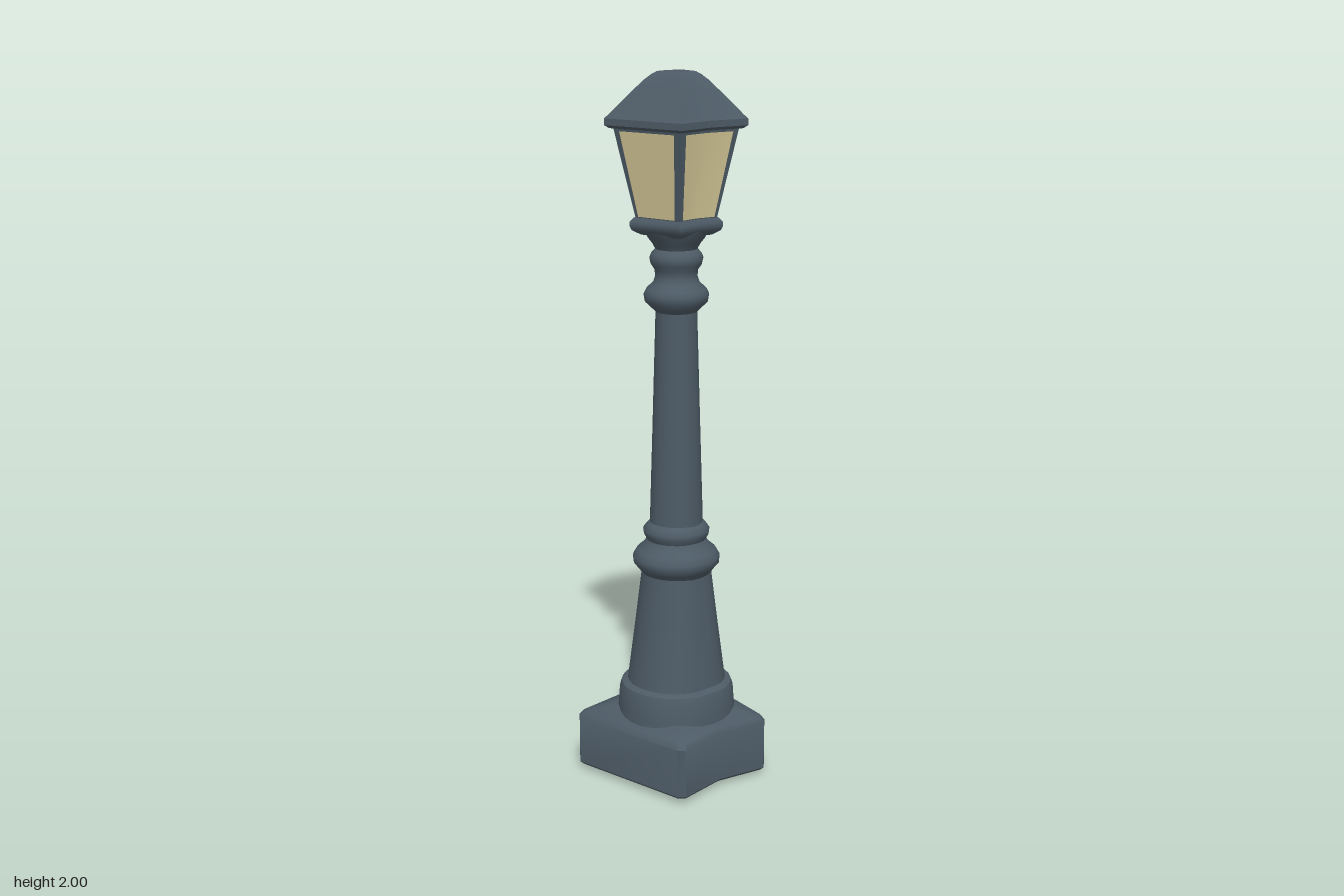
import * as THREE from 'three';
import { toCreasedNormals } from 'three/addons/utils/BufferGeometryUtils.js';

const metal = new THREE.MeshStandardMaterial({ color: 0x4d5b66 });
metal.name = 'slate metal';
const glass = new THREE.MeshStandardMaterial({ color: 0xd8cc9a, side: THREE.DoubleSide });
glass.name = 'warm glass';

// Mirror a half outline [x, z], given from front centre to back centre
function mirrored(half) {
  return half.concat(half.slice(1, -1).reverse().map(([x, z]) => [-x, z]));
}

// Stack scaled copies of an outline; each level is [y, scale]
function loft(outline, levels, crease = 0.7) {
  const pos = [];
  const n = outline.length;
  const at = (i, [y, s]) => [outline[i % n][0] * s, y, outline[i % n][1] * s];
  for (let j = 0; j < levels.length - 1; j++) {
    const lo = levels[j], hi = levels[j + 1];
    for (let i = 0; i < n; i++) {
      const a = at(i, lo), b = at(i + 1, lo), c = at(i + 1, hi), d = at(i, hi);
      if (lo[1] > 0) pos.push(...a, ...b, ...c);
      if (hi[1] > 0) pos.push(...a, ...c, ...d);
    }
  }
  const g = new THREE.BufferGeometry();
  g.setAttribute('position', new THREE.Float32BufferAttribute(pos, 3));
  return toCreasedNormals(g, crease);
}

// Unit circle outline with an optional shallow crease at the front
function round(dent = 0, n = 28) {
  return Array.from({ length: n }, (_, i) => {
    const a = (i / n) * Math.PI * 2;
    const off = Math.min(a, Math.PI * 2 - a);
    const r = 1 - dent * Math.exp(-((off / 0.3) ** 2));
    return [Math.sin(a) * r, Math.cos(a) * r];
  });
}

// Skewed, dented footprints of the plinth and the lantern
const plinthOutline = mirrored([[0, 0.187], [0.15, 0.212], [0.167, 0.195],
  [0.223, -0.17], [0.21, -0.187], [0, -0.213]]);
const lanternOutline = mirrored([[0, 0.138], [0.118, 0.155], [0.168, -0.1], [0, -0.147]]);

// One glass pane following a run of outline points, set just outside the body
function pane(points, low, high) {
  const pos = [], index = [];
  const inset = 0.1;
  const ends = points.map((p) => new THREE.Vector2(...p));
  const last = ends.length - 1;
  const pts = ends.map((p, i) => {
    if (i === 0) return p.clone().lerp(ends[1], inset * last);
    if (i === last) return p.clone().lerp(ends[last - 1], inset * last);
    return p;
  });
  pts.forEach((p, i) => {
    for (const [y, s] of [low, high]) pos.push(p.x * s, y, p.y * s);
    if (i < last) {
      const k = i * 2;
      index.push(k, k + 2, k + 3, k, k + 3, k + 1);
    }
  });
  const g = new THREE.BufferGeometry();
  g.setAttribute('position', new THREE.Float32BufferAttribute(pos, 3));
  g.setIndex(index);
  g.computeVertexNormals();
  return g;
}

export function createModel() {
  const lamp = new THREE.Group();
  lamp.name = 'streetLamp';
  const add = (name, geometry, material = metal) => {
    const m = new THREE.Mesh(geometry, material);
    m.name = name;
    lamp.add(m);
  };

  // Plinth with a slightly domed underside and sloping top
  add('plinth', loft(plinthOutline, [
    [0, 0], [0, 0.4], [0.012, 0.96], [0.02, 1], [0.16, 1], [0.175, 0.95], [0.195, 0.68], [0.2, 0]]));

  // Round collar on the plinth and the tapering lower column
  add('footCollar', loft(round(0.05), [
    [0.16, 0.17], [0.2, 0.167], [0.255, 0.163], [0.272, 0.157], [0.28, 0.14], [0.28, 0]]));
  add('lowerColumn', loft(round(0.07), [[0.27, 0.141], [0.44, 0.119], [0.61, 0.098]]));

  // Middle rings
  add('middleRings', loft(round(0.03), [
    [0.6, 0.097], [0.615, 0.108], [0.632, 0.122], [0.65, 0.123], [0.668, 0.112], [0.685, 0.092],
    [0.7, 0.084], [0.715, 0.092], [0.728, 0.094], [0.742, 0.084], [0.755, 0.07]], 0.9));

  // Upper shaft
  add('shaft', loft(round(), [[0.745, 0.075], [1.05, 0.066], [1.365, 0.057]]));

  // Neck rings below the lantern
  add('neckRings', loft(round(), [
    [1.35, 0.056], [1.36, 0.066], [1.38, 0.087], [1.4, 0.09], [1.415, 0.083], [1.432, 0.064],
    [1.45, 0.058], [1.468, 0.06], [1.483, 0.07], [1.5, 0.074], [1.513, 0.069], [1.525, 0.058],
    [1.54, 0.066], [1.555, 0.078], [1.58, 0.09]], 0.9));

  // Lantern: tray, tapering frame and four panes
  add('lanternTray', loft(lanternOutline, [
    [1.555, 0], [1.565, 0.5], [1.578, 0.63], [1.59, 0.66], [1.6, 0.66], [1.612, 0.6], [1.612, 0]]));
  add('lanternFrame', loft(lanternOutline, [[1.6, 0.56], [1.865, 0.89]]));
  const o = lanternOutline;
  const runs = {
    frontPane: [o[5], o[0], o[1]],
    leftPane: [o[1], o[2]],
    backPane: [o[2], o[3], o[4]],
    rightPane: [o[4], o[5]],
  };
  for (const [name, run] of Object.entries(runs)) {
    add(name, pane(run, [1.615, 0.6], [1.845, 0.886]), glass);
  }

  // Roof with a rim and a flattened crown
  add('roof', loft(lanternOutline, [
    [1.85, 0], [1.852, 0.93], [1.86, 1], [1.878, 1], [1.888, 0.94], [1.935, 0.69],
    [1.978, 0.45], [1.992, 0.35], [2, 0.27], [2, 0]], 0.6));

  return lamp;
}
